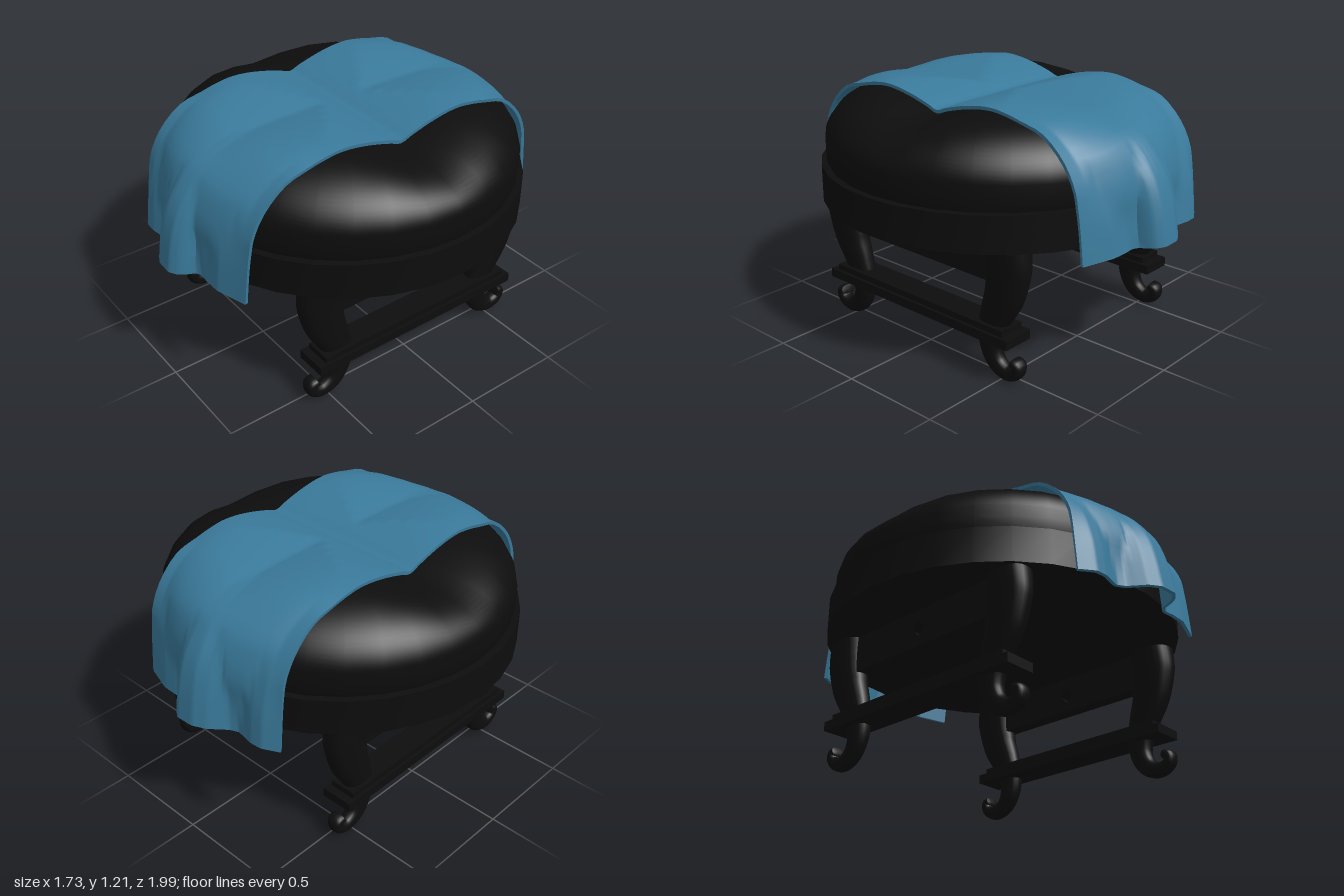
import * as THREE from 'three';
import { toCreasedNormals } from 'three/addons/utils/BufferGeometryUtils.js';
import { mergeVertices } from 'three/addons/utils/BufferGeometryUtils.js';

const { lerp, clamp } = THREE.MathUtils;
const black = new THREE.MeshStandardMaterial({ color: 0x0d0d0d });
const blue = new THREE.MeshStandardMaterial({ color: 0x3a7a9b, side: THREE.DoubleSide });

// Cushion form: a flat-topped dome pressed in by a cross of two valleys
const R = 0.84;
const dome = r => 0.95 + 0.24 * Math.pow(Math.max(0, 1 - (r / R) ** 5), 0.6);
const valley = (x, z) => {
  const dip = t => Math.pow(Math.max(0, 1 - Math.abs(t) / 0.36), 1.5);
  const fade = Math.max(0, 1 - (Math.hypot(x, z) / R) ** 6);
  return fade * Math.max(0.05 * dip(x), 0.085 * dip(z));
};
const radiusAt = y => y < 0.88 ? 0.865
  : y < 0.95 ? R : R * Math.pow(Math.max(0, 1 - ((y - 0.95) / 0.24) ** (1 / 0.6)), 0.2);

// Piecewise-linear lookup in [x, value] pairs
function lookup(table, x) {
  for (let i = 1; i < table.length; i++) {
    const [x0, v0] = table[i - 1], [x1, v1] = table[i];
    if (x <= x1) return lerp(v0, v1, clamp((x - x0) / (x1 - x0), 0, 1));
  }
  return table[table.length - 1][1];
}

// Skin a list of closed rings
function skin(rings) {
  const n = rings[0].length, index = [];
  for (let i = 0; i < rings.length - 1; i++) {
    for (let j = 0; j < n; j++) {
      const a = i * n + j, b = i * n + (j + 1) % n;
      index.push(a, b, a + n, b, b + n, a + n);
    }
  }
  const g = new THREE.BufferGeometry().setFromPoints(rings.flat());
  g.setIndex(index);
  g.computeVertexNormals();
  return g;
}

function add(parent, name, geometry, material = black) {
  const mesh = new THREE.Mesh(geometry, material);
  mesh.name = name;
  parent.add(mesh);
  return mesh;
}

function cushionGeometry() {
  const profile = [[0, 0.825], [0.83, 0.825], [0.838, 0.85], [R, 0.9]].map(p => new THREE.Vector2(...p));
  for (let i = 0; i <= 28; i++) {
    const r = R * Math.cos(i / 28 * Math.PI / 2);
    profile.push(new THREE.Vector2(Math.max(r, 0), dome(r)));
  }
  const g = new THREE.LatheGeometry(profile, 32);
  const p = g.attributes.position;
  for (let i = 0; i < p.count; i++) {
    if (p.getY(i) > 0.95) p.setY(i, p.getY(i) - valley(p.getX(i), p.getZ(i)));
  }
  g.deleteAttribute('uv');
  g.deleteAttribute('normal');
  const merged = mergeVertices(g, 1e-4);
  merged.computeVertexNormals();
  return toCreasedNormals(merged, 0.9);
}

// Cabriole leg: elliptical sections swept along an S curve ending in a scroll
function legGeometry() {
  const path = [ // z, y, half depth
    [0.525, 0.67, 0.105], [0.53, 0.55, 0.11], [0.505, 0.42, 0.1], [0.46, 0.31, 0.082],
    [0.43, 0.22, 0.068], [0.43, 0.13, 0.055], [0.465, 0.065, 0.046], [0.53, 0.036, 0.036],
    [0.583, 0.058, 0.03], [0.59, 0.095, 0.025], [0.562, 0.105, 0.022]];
  const curve = new THREE.CatmullRomCurve3(path.map(([z, y]) => new THREE.Vector3(0, y, z)));
  const X = new THREE.Vector3(1, 0, 0), rings = [], N = 60, S = 20;
  for (let i = 0; i <= N + 1; i++) {
    const t = Math.min(i / N, 1), c = curve.getPoint(t), k = t * (path.length - 1);
    const k0 = Math.min(Math.floor(k), path.length - 2);
    const tip = i > N ? 0.01 : 1;
    const hz = lerp(path[k0][2], path[k0 + 1][2], k - k0) * tip;
    const hx = (c.y > 0.25 ? 0.047 + (c.y - 0.25) * 0.075 : 0.032 + c.y * 0.06) * tip;
    const normal = new THREE.Vector3().crossVectors(X, curve.getTangent(t)).normalize();
    const ring = [];
    for (let j = 0; j < S; j++) {
      const a = j / S * Math.PI * 2, sq = v => Math.sign(v) * Math.abs(v) ** 0.8;
      ring.push(c.clone().addScaledVector(normal, hz * sq(Math.cos(a))).addScaledVector(X, hx * sq(Math.sin(a))));
    }
    rings.push(ring);
  }
  return skin(rings);
}

// Apron panel with a pierced diamond
function apronGeometry() {
  const s = new THREE.Shape();
  s.moveTo(-0.46, 0.47).lineTo(0.46, 0.47).lineTo(0.46, 0.66).lineTo(-0.46, 0.66).closePath();
  const hole = new THREE.Path();
  hole.moveTo(0, 0.52).lineTo(-0.04, 0.56).lineTo(0, 0.6).lineTo(0.04, 0.56).closePath();
  s.holes.push(hole);
  return new THREE.ExtrudeGeometry(s, { depth: 0.07, bevelEnabled: false })
    .translate(0, 0, -0.035).rotateY(Math.PI / 2);
}

// Draped runner: columns follow the cushion, then hang in folds
function runnerGeometry() {
  const hem = [[-0.435, 0.835], [-0.36, 0.88], [-0.3, 0.885], [-0.21, 0.868], [-0.17, 0.888], [-0.1, 0.96],
    [-0.04, 0.992], [0.05, 0.997], [0.09, 0.97], [0.105, 0.94], [0.115, 0.9], [0.14, 0.882], [0.2, 0.887],
    [0.28, 0.885], [0.43, 0.835]];
  const hang = [ // z and y at a flat edge, z and y at the fullest fold
    [0.62, 1.14, 0.62, 1.15], [0.73, 1.04, 0.76, 1.1], [0.79, 0.93, 0.86, 1.04],
    [0.81, 0.84, 0.935, 0.92], [0.825, 0.75, 0.972, 0.78], [0.84, 0.6, 1, 0.62]];
  const fold = x => (lookup(hem, x) - 0.84) / 0.16;
  const NX = 88, NZ = 90, columns = [];
  for (let j = 0; j <= NX; j++) {
    const x = lerp(-0.435, 0.43, j / NX), half = [];
    let soft = 0;
    for (let k = -4; k <= 4; k++) soft += fold(x + k * 0.03) / 9;
    for (let k = 0; k <= 10; k++) {
      const z = k * 0.05;
      half.push([x, dome(Math.hypot(x, z)) - valley(x, z) + 0.028, z]);
    }
    hang.forEach(([z0, y0, z1, y1], k) => {
      const w = lerp(soft, fold(x), clamp((k - 1) / 3, 0, 1));
      let z = lerp(z0, z1, w), y = lerp(y0, y1, w);
      if (k === 0) y = Math.max(y, dome(Math.hypot(x, z)) - valley(x, z) + 0.028);
      else z = Math.max(z, Math.sqrt(radiusAt(y) ** 2 - x * x) + 0.024);
      half.push([x - 0.003 * k, y, z]);
    });
    const front = half.slice(1).reverse().map(p => new THREE.Vector3(...p));
    const back = half.map(([a, b, c]) => new THREE.Vector3(a, b, -c));
    columns.push(new THREE.CatmullRomCurve3([...front, ...back]).getPoints(NZ));
  }
  const rings = [], inners = [];
  for (let i = 0; i <= NZ; i++) {
    const outer = [], inner = [];
    for (let j = 0; j <= NX; j++) {
      const p = columns[j][i];
      const dx = columns[Math.min(j + 1, NX)][i].clone().sub(columns[Math.max(j - 1, 0)][i]);
      const dz = columns[j][Math.min(i + 1, NZ)].clone().sub(columns[j][Math.max(i - 1, 0)]);
      outer.push(p);
      inner.push(p.clone().addScaledVector(dx.cross(dz).normalize(), -0.016));
    }
    const under = inner.slice().reverse();
    rings.push([...outer, ...under]);
    inners.push([...inner, ...under]);
  }
  // Close both hems
  return toCreasedNormals(skin([inners[0], ...rings, inners[NZ]]), 0.8);
}

export function createModel() {
  const model = new THREE.Group();
  model.name = 'ottoman';

  const base = toCreasedNormals(new THREE.CylinderGeometry(0.865, 0.865, 0.175, 32), 0.6);
  add(model, 'seatBase', base).position.y = 0.742;
  add(model, 'cushion', cushionGeometry());
  add(model, 'runner', runnerGeometry(), blue);

  // Two side frames: a pair of legs, an apron and a stepped stretcher
  const leg = legGeometry(), apron = apronGeometry();
  for (const side of [1, -1]) {
    const frame = new THREE.Group();
    frame.name = side > 0 ? 'leftFrame' : 'rightFrame';
    frame.position.x = side * 0.535;
    add(frame, 'frontLeg', leg);
    add(frame, 'backLeg', leg).rotation.y = Math.PI;
    add(frame, 'apron', apron);
    add(frame, 'stretcher', new THREE.BoxGeometry(0.16, 0.045, 1.17)).position.y = 0.218;
    add(frame, 'stretcherTop', new THREE.BoxGeometry(0.132, 0.03, 1.09)).position.y = 0.255;
    model.add(frame);
  }
  return model;
}
